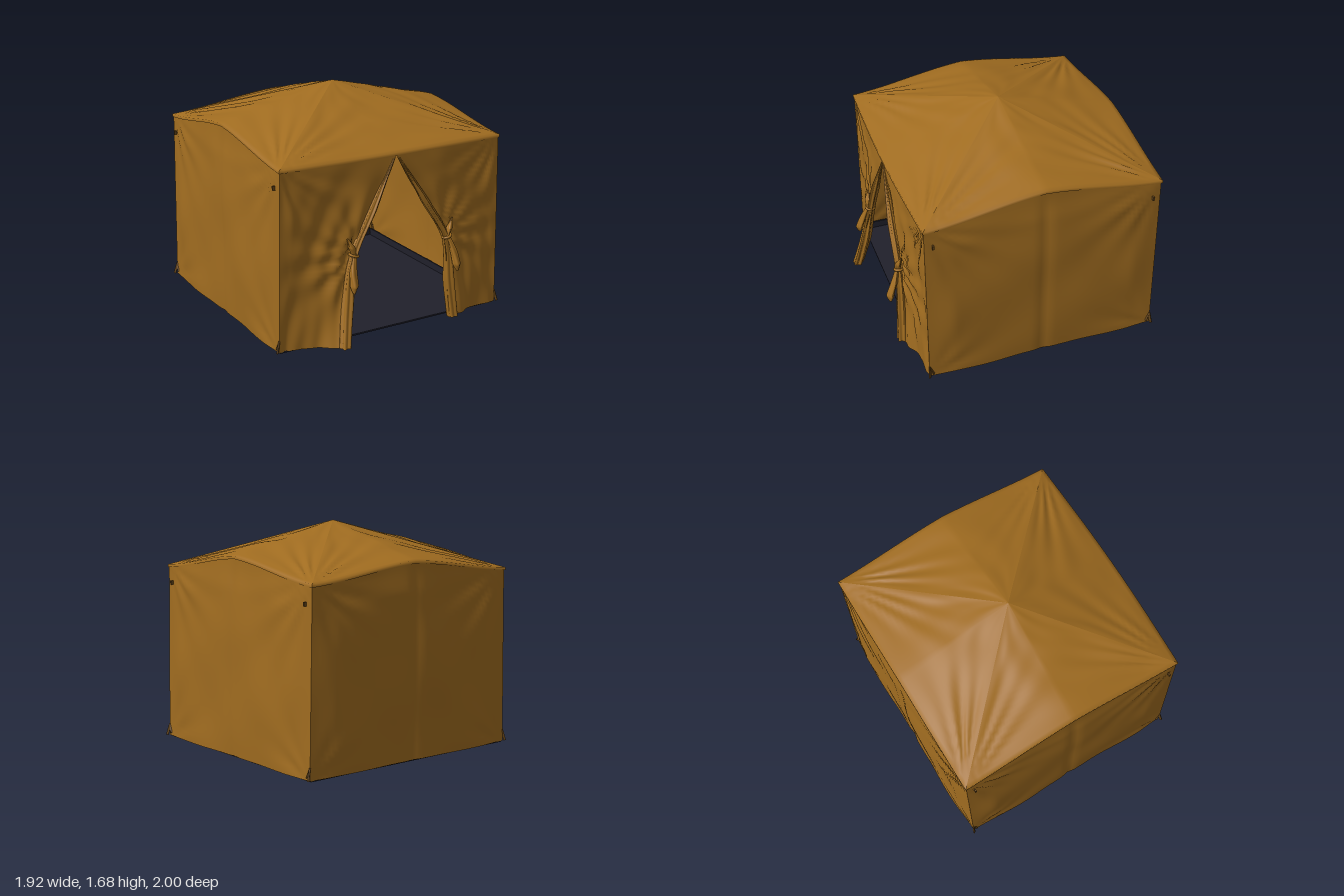
import * as THREE from 'three';

const canvas = new THREE.MeshStandardMaterial({ color: 0xa06c20, side: THREE.DoubleSide });
canvas.name = 'tan canvas';
const groundsheet = new THREE.MeshStandardMaterial({ color: 0x20202b });
groundsheet.name = 'navy groundsheet';
const webbing = new THREE.MeshStandardMaterial({ color: 0x65451a });
webbing.name = 'brown webbing';

const { sin, cos, exp, PI, min, max, abs, hypot, atan2 } = Math;
const lerp = THREE.MathUtils.lerp;
const APEX = [0, 1.68, -0.05], EAVE = 1.335, X = 0.908, ZF = 0.81, ZB = -0.95;
const SPREAD = 0.022; // the walls lean out this far at the foot

// Perimeter, counter-clockwise seen from above: corner a to corner b, outward normal n
const SIDES = [
  { name: 'front', a: [-X, ZF], b: [X, ZF], n: [0, 1], rise: 0, bow: 0.025 },
  { name: 'left', a: [X, ZF], b: [X, ZB], n: [1, 0], rise: 0.125, bow: 0 },
  { name: 'back', a: [X, ZB], b: [-X, ZB], n: [0, -1], rise: 0.105, bow: 0.008 },
  { name: 'right', a: [-X, ZB], b: [-X, ZF], n: [-1, 0], rise: 0.125, bow: 0 },
];

// Surface from a rule: u runs sideways, v upwards
function grid(nu, nv, rule) {
  const pos = [], idx = [];
  for (let j = 0; j <= nv; j++)
    for (let i = 0; i <= nu; i++) pos.push(...rule(i / nu, j / nv));
  for (let j = 0; j < nv; j++)
    for (let i = 0; i < nu; i++) {
      const a = j * (nu + 1) + i, d = a + nu + 1;
      idx.push(a, a + 1, d, a + 1, d + 1, d);
    }
  const g = new THREE.BufferGeometry();
  g.setAttribute('position', new THREE.Float32BufferAttribute(pos, 3));
  g.setIndex(idx);
  g.computeVertexNormals();
  return g;
}

function add(parent, name, geometry, material = canvas) {
  const m = new THREE.Mesh(geometry, material);
  m.name = name;
  parent.add(m);
  return m;
}

// Point on the eave line of a side, peaking at a pole in the middle
function eave(side, s) {
  const out = side.bow * sin(PI * s);
  const peak = 0.5 * (0.5 - 0.5 * cos(2 * PI * s)) + 0.5 * (1 - abs(2 * s - 1));
  return [
    lerp(side.a[0], side.b[0], s) + side.n[0] * out,
    EAVE + side.rise * peak,
    lerp(side.a[1], side.b[1], s) + side.n[1] * out,
  ];
}

// Creases fanning out from a corner, and loose cloth ripples
const fan = (dx, dy, k) => {
  const d = hypot(dx, dy);
  return sin(atan2(dy, dx) * k) * min(1, d * 7) * exp(-3.2 * d);
};
const ripple = (p, q) => 0.5 * sin(5.3 * p + 3.1 * q) + 0.35 * sin(7.7 * q - 4.1 * p + 1) + 0.25 * sin(11 * p + 6 * q + 2);

// Straight wall with a seam pulled in at the middle
function wall(side, k) {
  return grid(56, 40, (s, v) => {
    const [x, top, z] = eave(side, s), y = lerp(0.01, top - 0.004, v);
    const edge = min(1, min(s, 1 - s) * 9, (1 - v) * 7), w = min(s, 1 - s) * 1.8;
    const out = edge * (0.008 + 0.016 * sin(PI * v) + 0.01 * ripple(s * 2 + k, v * 1.5)
      + 0.018 * fan(w, 1.34 - y, 15) + 0.008 * fan(w, y, 11)
      - 0.012 * exp(-(((s - 0.5) * 45) ** 2)));
    return [x * (1 + SPREAD * (1 - v) / X) + side.n[0] * out, y, z + side.n[1] * out];
  });
}

// Roof quarter rising from the hem to the apex
function roofPanel(side, k) {
  return grid(56, 30, (s, v) => {
    const t = max(0, (v * 30 - 1) / 29);
    const p = eave(side, s).map((c, i) => lerp(c, APEX[i], t));
    const w = min(s, 1 - s) * 1.8 * (1 - t);
    const calm = min(1, t * 8) * min(1, (1 - t) * 3) * min(1, w * 12);
    p[1] += calm * (0.006 * ripple(s * 2 + k, t * 2) + 0.016 * fan(w, t * 0.9, 13));
    if (v === 0) p[1] -= 0.022;
    const lip = 1 + 0.008 * (1 - t);
    return [p[0] * lip, p[1], p[2] * lip];
  });
}

// Inner edge of the doorway at height y
const TIE = 0.65;
const doorEdge = (y, tieX, footX) => y > TIE
  ? tieX * ((1.32 - min(y, 1.32)) / (1.32 - TIE)) ** 1.08
  : lerp(footX, tieX, y / TIE);

// Front panel drawn back to its tie, flaring towards the foot
function frontPanel(sign, tieX, footX, flare) {
  return grid(48, 40, (u0, v) => {
    const u = sign > 0 ? u0 : 1 - u0;
    const y = lerp(0.01, 1.328, v), x = lerp(doorEdge(y, tieX, footX), X + SPREAD * (1 - v), u);
    const low = max(0, 1 - y / TIE), edge = min(1, (1 - u) * 8, (1 - v) * 6);
    const open = min(1, (1.32 - y) * 2);
    const z = ZF + 0.025 * max(0, cos(x / X * PI / 2))
      + edge * (0.01 * ripple(u * 2 + sign, v * 2) + 0.02 * fan(X - x, 1.34 - y, 15)
        + 0.02 * fan(x - tieX, y - TIE, 12)
        + 0.014 * open * sin(u * 26 + y * 3) * exp(-3.5 * u))
      + exp(-((u * 2.6) ** 2)) * (0.025 * open + flare * low ** 1.2);
    return [sign * x, y, z];
  });
}

// Pleated bundle of cloth along a path, with a radius at each path point
function bundle(points, radii, pleats = 5) {
  const curve = new THREE.CatmullRomCurve3(points.map(p => new THREE.Vector3(...p)));
  const n = radii.length - 1;
  return grid(30, 28, (u, v) => {
    const c = curve.getPoint(v), i = min(n - 1, Math.floor(v * n));
    const a = u * 2 * PI;
    const r = lerp(radii[i], radii[i + 1], v * n - i) * (1 + 0.22 * sin(pleats * a + 3 * v));
    return [c.x + r * cos(a), c.y, c.z - r * sin(a)];
  });
}

function strap(parent, name, a, b, width) {
  const p = new THREE.Vector3(...a), q = new THREE.Vector3(...b);
  const m = add(parent, name, new THREE.BoxGeometry(width, p.distanceTo(q), width * 0.6), webbing);
  m.position.copy(p).lerp(q, 0.5);
  m.quaternion.setFromUnitVectors(new THREE.Vector3(0, 1, 0), q.sub(p).normalize());
}

export function createModel() {
  const tent = new THREE.Group();
  tent.name = 'tent';

  SIDES.forEach((side, k) => {
    add(tent, side.name + 'Roof', roofPanel(side, k * 1.7));
    if (k) add(tent, side.name + 'Wall', wall(side, k * 2.3));
  });

  // Drawn-back door flaps
  for (const [sign, name, tieX, footX, flare] of [[1, 'left', 0.4, 0.45, 0.035], [-1, 'right', 0.34, 0.46, 0.13]]) {
    const door = new THREE.Group();
    door.name = name + 'DoorFlap';
    tent.add(door);
    add(door, name + 'FrontWall', frontPanel(sign, tieX, footX, flare));
    const at = (y, z, dx) => [sign * (doorEdge(y, tieX, footX) + dx), y, z];
    add(door, name + 'GatheredEdge', bundle([
      at(0.015, 0.855 + flare * 0.9, 0.035), at(0.3, 0.855 + flare * 0.4, 0.03),
      at(0.63, 0.865, 0.022), at(0.95, 0.855, 0.025), at(1.3, 0.835, 0.01),
    ], [0.036, 0.038, 0.026, 0.028, 0.006]));
    const tieBand = add(door, name + 'TieBand', new THREE.TorusGeometry(0.032, 0.01, 8, 20));
    tieBand.position.set(sign * (tieX + 0.025), TIE, 0.868);
    tieBand.rotation.set(PI / 2, sign * 0.3, 0);
    const kx = sign * (tieX + 0.025);
    add(door, name + 'TieTail', bundle([
      [kx + sign * 0.045, 0.4, 0.955], [kx + sign * 0.04, 0.45, 0.95],
      [kx + sign * 0.03, 0.55, 0.915], [kx, 0.66, 0.88],
    ], [0.008, 0.028, 0.024, 0.012], 3));
    add(door, name + 'TieTuft', bundle([
      [kx - sign * 0.01, 0.64, 0.875], [kx + sign * 0.02, 0.71, 0.875], [kx + sign * 0.05, 0.78, 0.86],
    ], [0.018, 0.022, 0.005], 3));
  }

  // Groundsheet with a raised rim
  const zMid = (ZF + ZB) / 2, depth = ZF - ZB - 0.01;
  add(tent, 'floor', new THREE.BoxGeometry(2 * X + 0.02, 0.012, depth), groundsheet).position.set(0, 0.008, zMid);
  add(tent, 'backRim', new THREE.BoxGeometry(2 * X - 0.04, 0.07, 0.012), groundsheet).position.set(0, 0.045, ZB + 0.02);
  for (const s of [-1, 1])
    add(tent, 'sideRim', new THREE.BoxGeometry(0.012, 0.06, depth - 0.04), groundsheet).position.set(s * (X - 0.01), 0.04, zMid);

  // Corner peg straps and eave toggles
  for (const sx of [-1, 1])
    for (const [z, sz] of [[ZF, 1], [ZB, -1]]) {
      strap(tent, 'pegStrap', [sx * 0.925, 0.1, z - sz * 0.005], [sx * 0.95, 0.012, z + sz * 0.005], 0.018);
      strap(tent, 'pegLoop', [sx * 0.925, 0.1, z - sz * 0.005], [sx * 0.935, 0.03, z - sz * 0.03], 0.014);
      strap(tent, 'eaveToggle', [sx * 0.925, 1.215, z - sz * 0.06], [sx * 0.925, 1.185, z - sz * 0.06], 0.02);
    }

  return tent;
}
